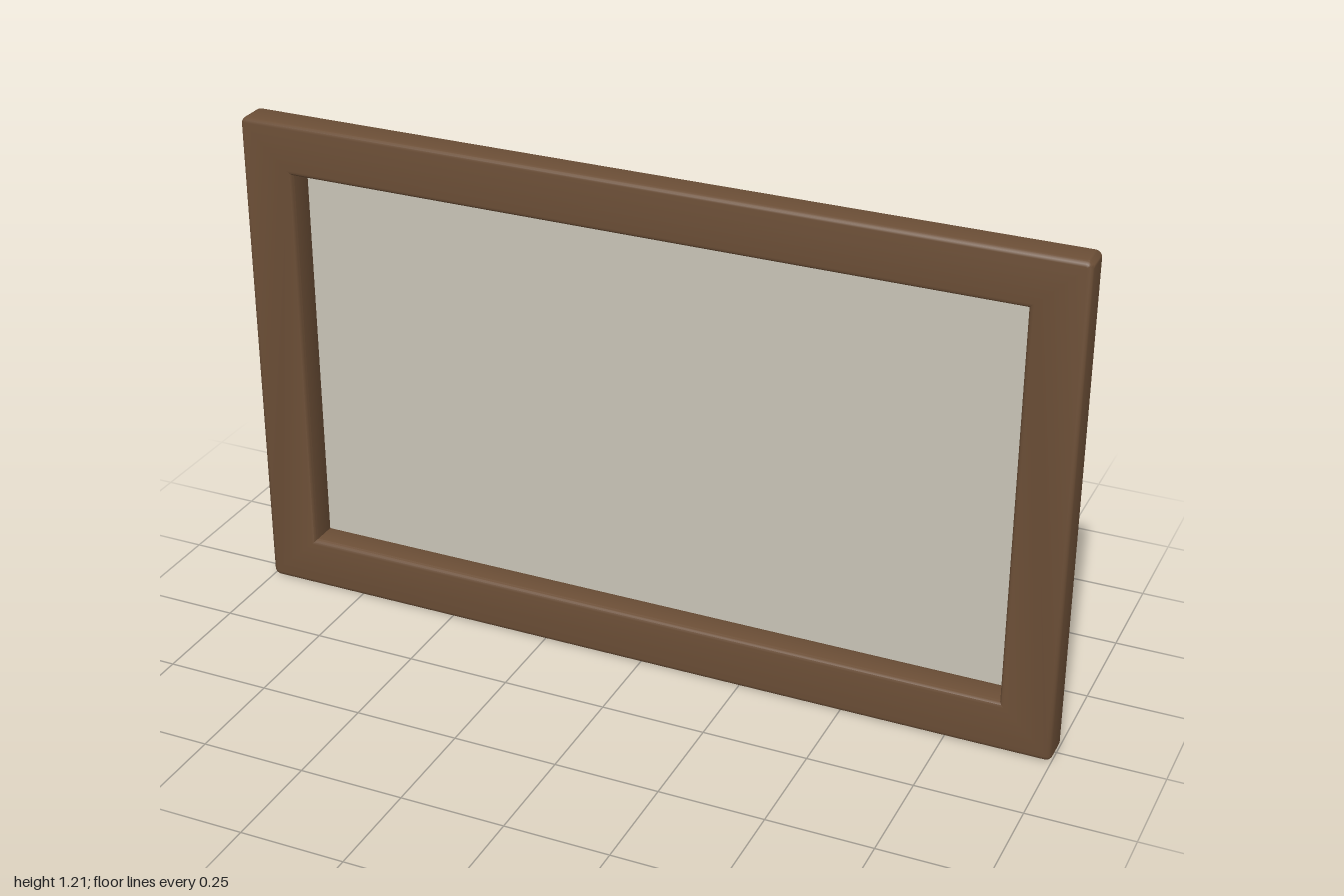
import * as THREE from 'three';
import { toCreasedNormals } from 'three/addons/utils/BufferGeometryUtils.js';
import { RoundedBoxGeometry } from 'three/addons/geometries/RoundedBoxGeometry.js';

const HEIGHT = 1.21;
const MID_Y = HEIGHT / 2;

// Rectangle centred on the origin with corners of radius r
function roundedRect(path, halfW, halfH, r) {
  path.moveTo(halfW, -halfH + r);
  path.lineTo(halfW, halfH - r);
  path.absarc(halfW - r, halfH - r, r, 0, Math.PI / 2);
  path.lineTo(-halfW + r, halfH);
  path.absarc(-halfW + r, halfH - r, r, Math.PI / 2, Math.PI);
  path.lineTo(-halfW, -halfH + r);
  path.absarc(-halfW + r, -halfH + r, r, Math.PI, Math.PI * 1.5);
  path.lineTo(halfW - r, -halfH);
  path.absarc(halfW - r, -halfH + r, r, Math.PI * 1.5, Math.PI * 2);
  return path;
}

// Square-cornered rectangle for the opening
function rect(path, halfW, halfH) {
  path.moveTo(-halfW, -halfH);
  path.lineTo(-halfW, halfH);
  path.lineTo(halfW, halfH);
  path.lineTo(halfW, -halfH);
  path.closePath();
  return path;
}

export function createModel() {
  const group = new THREE.Group();
  group.name = 'framedPanel';

  const wood = new THREE.MeshStandardMaterial({ color: 0x6b4e36 });
  wood.name = 'brown wood';
  const canvas = new THREE.MeshStandardMaterial({ color: 0xc8c4b6 });
  canvas.name = 'pale canvas';

  // Wooden border with softened edges around one opening
  const bevel = 0.012;
  const back = -0.033;
  const front = 0.045;
  const outline = roundedRect(new THREE.Shape(), 1, MID_Y, 0.016);
  outline.holes.push(rect(new THREE.Path(), 0.872, 0.48));
  const frameGeometry = new THREE.ExtrudeGeometry(outline, {
    depth: front - back - 2 * bevel,
    bevelEnabled: true,
    bevelThickness: bevel,
    bevelSize: bevel,
    bevelOffset: -bevel,
    bevelSegments: 3,
    curveSegments: 4,
  });
  frameGeometry.translate(0, MID_Y, back + bevel);
  const frame = new THREE.Mesh(toCreasedNormals(frameGeometry, 0.7), wood);
  frame.name = 'frame';
  group.add(frame);

  // Thin panel fixed over the back of the opening
  const panel = new THREE.Mesh(new RoundedBoxGeometry(1.79, 1.01, 0.015, 2, 0.003), canvas);
  panel.name = 'panel';
  panel.position.set(0, MID_Y + 0.002, -0.0375);
  group.add(panel);

  return group;
}
